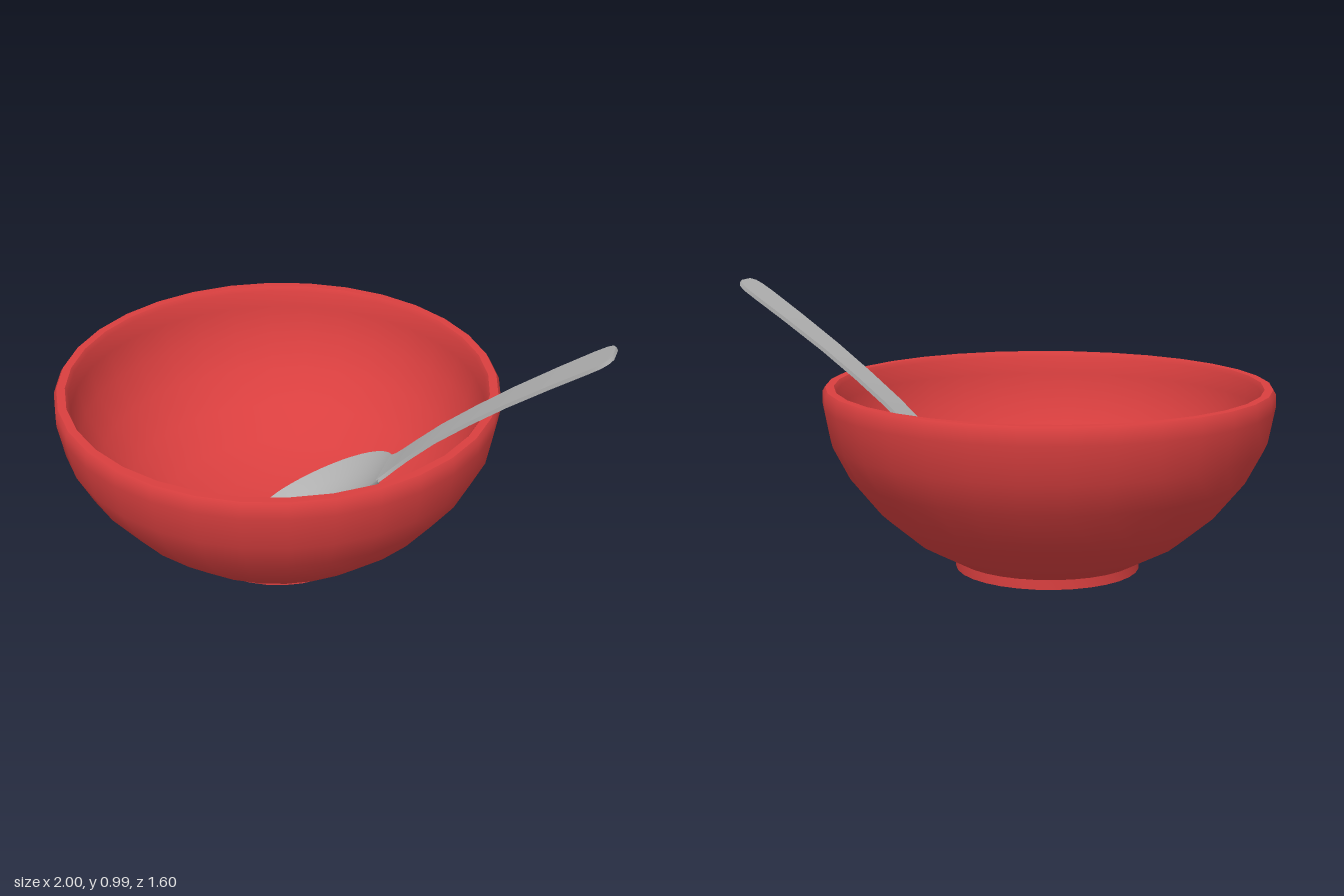
import * as THREE from 'three';
import { toCreasedNormals } from 'three/addons/utils/BufferGeometryUtils.js';

const points = (list) => list.map(([x, y]) => new THREE.Vector2(x, y));

// Moves every vertex of a geometry by a rule
function reshape(geometry, rule) {
  const pos = geometry.attributes.position;
  const v = new THREE.Vector3();
  for (let i = 0; i < pos.count; i++) {
    rule(v.fromBufferAttribute(pos, i));
    pos.setXYZ(i, v.x, v.y, v.z);
  }
  return geometry;
}

function part(name, geometry, material, crease) {
  const mesh = new THREE.Mesh(toCreasedNormals(geometry, crease), material);
  mesh.name = name;
  return mesh;
}

export function createModel() {
  const red = new THREE.MeshStandardMaterial({ color: 0xd93f3f });
  red.name = 'red ceramic';
  const steel = new THREE.MeshStandardMaterial({ color: 0xb0b0b0 });
  steel.name = 'grey steel';

  const group = new THREE.Group();
  group.name = 'bowlWithSpoon';

  // Bowl: hollow foot, outer wall, rounded rim, inner wall
  const bowlProfile = points([
    [0, 0.03], [0.285, 0.03], [0.285, 0], [0.33, 0], [0.33, 0.035],
    [0.48, 0.115], [0.605, 0.22], [0.715, 0.355], [0.775, 0.47], [0.8, 0.6],
    [0.8, 0.645], [0.79, 0.662], [0.76, 0.662], [0.75, 0.645],
    [0.745, 0.58], [0.72, 0.47], [0.655, 0.35], [0.555, 0.24],
    [0.42, 0.155], [0.25, 0.1], [0, 0.085],
  ]);
  const bowl = part('bowl', new THREE.LatheGeometry(bowlProfile, 32), red, 0.9);
  bowl.position.x = -0.2;
  group.add(bowl);

  const spoon = new THREE.Group();
  spoon.name = 'spoon';
  group.add(spoon);

  // Spoon scoop: a thin dished shell, stretched to an egg outline and tilted
  const dish = (r) => -0.11 * (1 - r ** 2.4);
  const radii = [0, 0.2, 0.4, 0.6, 0.75, 0.88, 1];
  const shell = points([
    ...radii.map((r) => [r, dish(r) - 0.014]),
    ...radii.toReversed().map((r) => [r, dish(r)]),
  ]);
  const scoop = reshape(new THREE.LatheGeometry(shell, 40), (v) => {
    v.z *= 0.188 * (1 + 0.14 * v.x);
    v.x = -0.02 + 0.25 * v.x;
    v.y += 0.264 + 0.56 * v.x;
  });
  spoon.add(part('spoonScoop', scoop, steel, 0.9));

  // Spoon handle: stations of x, centre height and half width
  const stations = [
    [0.205, 0.373, 0.088], [0.23, 0.394, 0.075], [0.26, 0.424, 0.067], [0.31, 0.474, 0.062],
    [0.4, 0.558, 0.06], [0.52, 0.655, 0.061], [0.65, 0.753, 0.064], [0.8, 0.857, 0.068],
    [0.92, 0.937, 0.071], [0.96, 0.963, 0.068], [0.982, 0.978, 0.057], [0.995, 0.986, 0.035],
  ];
  const last = stations.length - 1;
  const strip = reshape(new THREE.BoxGeometry(1, 0.014, 2, last, 1, 2), (v) => {
    const i = Math.round((v.x + 0.5) * last);
    const [x, y, halfWidth] = stations[i];
    const a = stations[Math.max(i - 1, 0)];
    const b = stations[Math.min(i + 1, last)];
    const slope = Math.atan2(b[1] - a[1], b[0] - a[0]);
    v.set(x - v.y * Math.sin(slope), y + v.y * Math.cos(slope), v.z * halfWidth);
  });
  spoon.add(part('spoonHandle', strip, steel, 0.7));

  return group;
}
